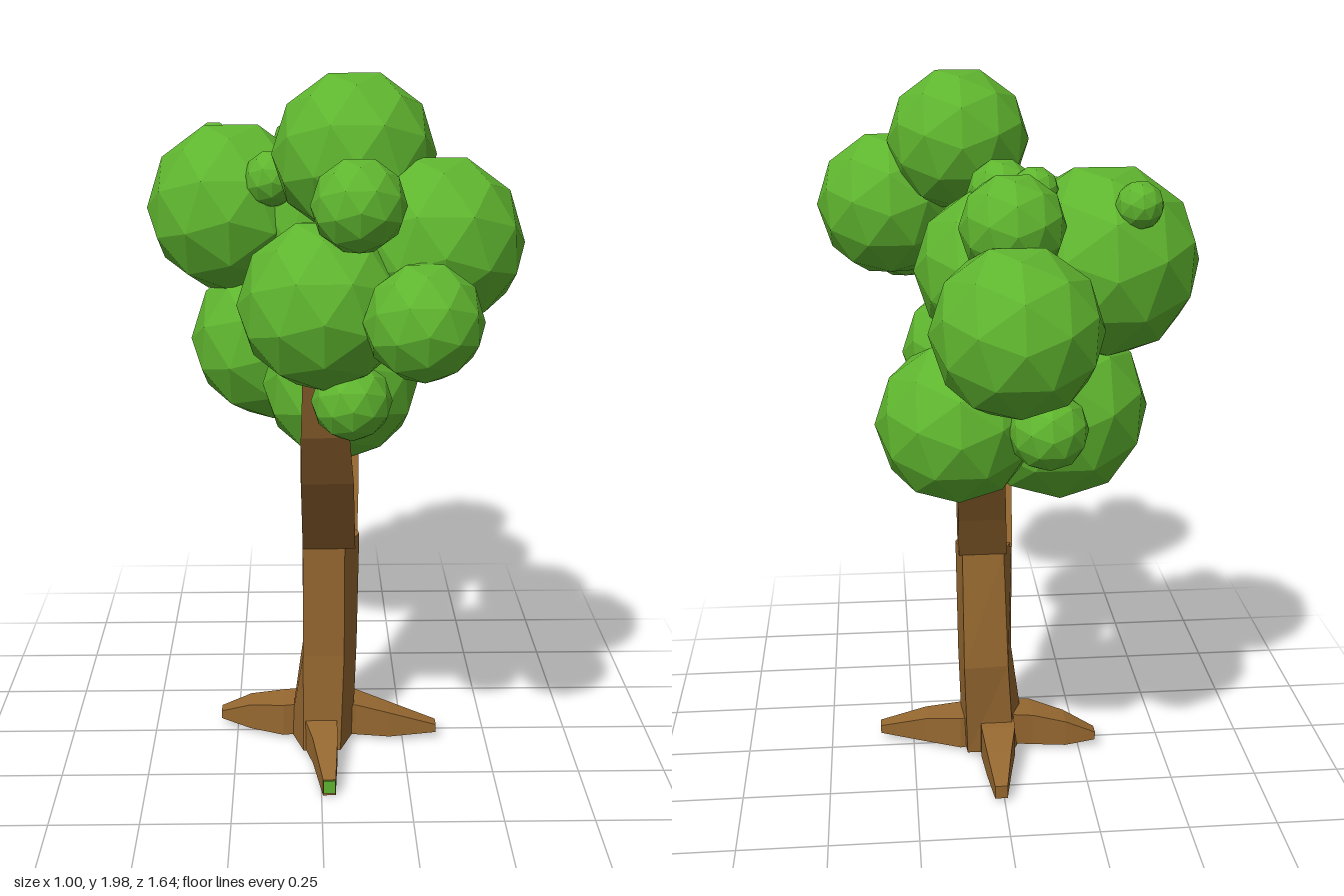
import * as THREE from 'three';

const leafGreen = new THREE.MeshStandardMaterial({ color: 0x5fb52f, flatShading: true });
leafGreen.name = 'leaf green';
const barkBrown = new THREE.MeshStandardMaterial({ color: 0x966830, flatShading: true });
barkBrown.name = 'bark brown';

// Joins rings of [x, y, z] points (counter-clockwise about the travel direction) and caps both ends
function loft(rings) {
  const n = rings[0].length;
  const pos = [];
  const tri = (a, b, c) => pos.push(...a, ...b, ...c);
  for (let i = 0; i < rings.length - 1; i++) {
    for (let j = 0; j < n; j++) {
      const k = (j + 1) % n;
      tri(rings[i][j], rings[i][k], rings[i + 1][k]);
      tri(rings[i][j], rings[i + 1][k], rings[i + 1][j]);
    }
  }
  const first = rings[0];
  const last = rings[rings.length - 1];
  for (let j = 1; j < n - 1; j++) {
    tri(first[0], first[j + 1], first[j]);
    tri(last[0], last[j], last[j + 1]);
  }
  const geo = new THREE.BufferGeometry();
  geo.setAttribute('position', new THREE.Float32BufferAttribute(pos, 3));
  geo.computeVertexNormals();
  return geo;
}

function addMesh(parent, name, geo, mat) {
  const mesh = new THREE.Mesh(geo, mat);
  mesh.name = name;
  parent.add(mesh);
  return mesh;
}

// Four-cornered branch section: x range, then [y, z] of its front and back edges
const branchRing = ([x0, x1, fy, fz, by, bz]) =>
  [[x0, fy, fz], [x1, fy, fz], [x1, by, bz], [x0, by, bz]];

// Root section: distance out, sideways centre, half width, bottom and top
const rootRing = ([d, s, w, lo, hi]) =>
  [[s - w, lo, d], [s + w, lo, d], [s + w, hi, d], [s - w, hi, d]];

function buildTrunk(tree) {
  // Six-sided trunk, flaring at the foot
  const rings = [
    [0.02, [-0.05, 0.14], [0.06, 0.14], [0.10, 0.04], [0.09, -0.08], [-0.05, -0.08], [-0.09, 0.02]],
    [0.32, [-0.05, 0.12], [0.07, 0.12], [0.11, 0.03], [0.10, -0.11], [-0.03, -0.10], [-0.05, 0.02]],
    [0.67, [-0.05, 0.12], [0.07, 0.12], [0.115, 0.03], [0.10, -0.055], [-0.02, -0.055], [-0.05, 0.02]],
  ].map(([y, ...pts]) => pts.map(([x, z]) => [x, y, z]));
  addMesh(tree, 'trunk', loft(rings), barkBrown);

  addMesh(tree, 'frontBranch', loft([
    [-0.05, 0.10, 0.66, 0.12, 0.66, 0.0],
    [-0.055, 0.085, 0.94, 0.345, 0.855, 0.085],
    [-0.055, 0.07, 1.10, 0.44, 0.99, 0.18],
    [-0.05, 0.03, 1.28, 0.50, 1.28, 0.40],
  ].map(branchRing)), barkBrown);

  addMesh(tree, 'backBranch', loft([
    [-0.03, 0.11, 0.66, 0.01, 0.66, -0.055],
    [-0.02, 0.115, 0.80, -0.045, 0.80, -0.13],
    [0.0, 0.12, 1.08, -0.17, 1.08, -0.30],
  ].map(branchRing)), barkBrown);
}

function buildRoots(tree) {
  // Turn, length, sideways drift of the tip, tip bottom
  const roots = [
    ['frontRoot', 0, 0.365, 0.022, 0.01],
    ['leftRoot', Math.PI / 2, 0.35, -0.048, 0.035],
    ['backRoot', Math.PI, 0.33, -0.01, 0.02],
    ['rightRoot', -Math.PI / 2, 0.30, -0.045, 0.035],
  ];
  for (const [name, turn, length, drift, low] of roots) {
    const root = addMesh(tree, name, loft([
      [0.0, 0, 0.05, 0.03, 0.13],
      [0.11, 0, 0.05, 0.02, 0.12],
      [0.21, drift * 0.6, 0.036, 0.02, 0.10],
      [length, drift, 0.018, low, 0.06],
    ].map(rootRing)), barkBrown);
    root.rotation.y = turn;
  }
  // Small green end on the front root
  const tip = addMesh(tree, 'rootTip', new THREE.BoxGeometry(0.034, 0.04, 0.005), leafGreen);
  tip.position.set(0.022, 0.038, 0.367);
}

function buildFoliage(tree) {
  const ball = new THREE.IcosahedronGeometry(1, 1);
  ball.rotateZ(0.5536);
  ball.rotateY(-Math.PI / 2);
  ball.rotateX(-0.464);

  // Leaf balls as x, y, z, radius
  const clusters = {
    frontFoliage: [
      [0.08, 1.80, 0.32, 0.205],
      [0.28, 1.60, 0.43, 0.215],
      [0.00, 1.46, 0.50, 0.21],
      [0.05, 1.19, 0.25, 0.205],
      [0.23, 1.46, 0.68, 0.142],
      [0.08, 1.72, 0.62, 0.112],
      [0.07, 1.23, 0.54, 0.10],
      [0.05, 1.46, 0.27, 0.08],
    ],
    backFoliage: [
      [-0.25, 1.57, -0.285, 0.25],
      [0.02, 1.54, -0.22, 0.21],
      [0.00, 1.475, -0.61, 0.21],
      [-0.135, 1.18, -0.275, 0.245],
      [0.135, 1.20, -0.44, 0.205],
      [0.00, 1.70, -0.49, 0.13],
      [0.00, 1.73, -0.19, 0.09],
      [-0.13, 1.68, -0.10, 0.08],
      [-0.07, 1.76, -0.33, 0.06],
      [-0.31, 1.74, -0.45, 0.06],
      [-0.08, 1.22, -0.58, 0.10],
    ],
  };
  for (const [name, balls] of Object.entries(clusters)) {
    const cluster = new THREE.Group();
    cluster.name = name;
    for (const [x, y, z, r] of balls) {
      const leaf = addMesh(cluster, 'leafBall', ball, leafGreen);
      leaf.position.set(x, y, z);
      leaf.scale.setScalar(r);
    }
    tree.add(cluster);
  }
}

export function createModel() {
  const tree = new THREE.Group();
  tree.name = 'tree';
  buildTrunk(tree);
  buildRoots(tree);
  buildFoliage(tree);
  return tree;
}
